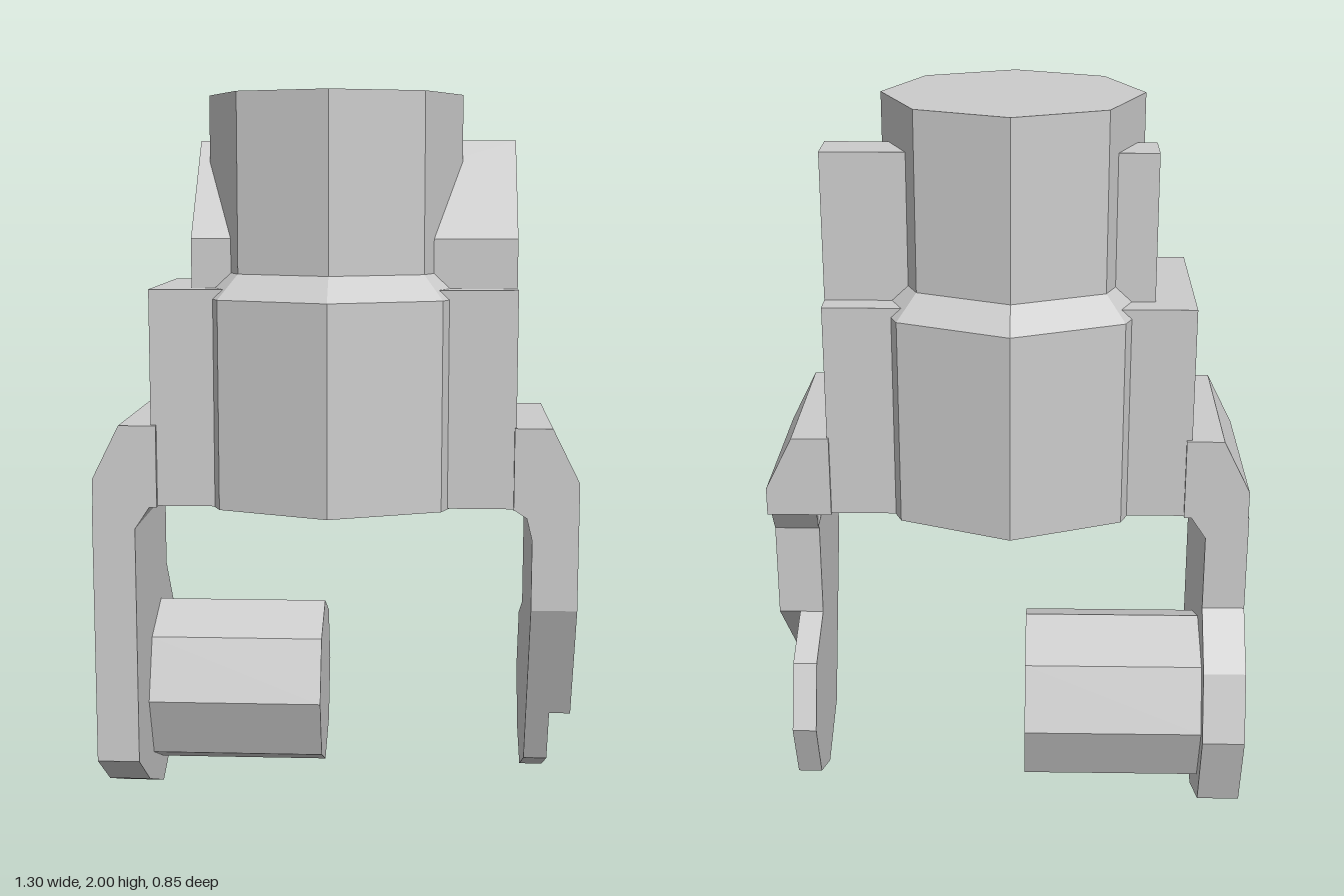
import * as THREE from 'three';

const material = new THREE.MeshStandardMaterial({ color: 0xcccccc, flatShading: true });

function add(group, name, geometry) {
  const mesh = new THREE.Mesh(geometry, material);
  mesh.name = name;
  group.add(mesh);
  return mesh;
}

function extrude(points, depth) {
  const shape = new THREE.Shape(points.map(([a, b]) => new THREE.Vector2(a, b)));
  return new THREE.ExtrudeGeometry(shape, { depth, bevelEnabled: false });
}

// Side profile of [z, y] points, extruded from x0 to x1
function sideSlab(points, x0, x1) {
  return extrude(points.map(([z, y]) => [-z, y]), x1 - x0).rotateY(Math.PI / 2).translate(x0, 0, 0);
}

// Front profile of [x, y] points, extruded from z0 to z1
function frontSlab(points, z0, z1) {
  return extrude(points, z1 - z0).translate(0, 0, z0);
}

export function createModel() {
  const model = new THREE.Group();
  model.name = 'clampHead';

  // Stepped octagonal core, corners on the axes
  const coreProfile = [[0, 0.91], [0.415, 0.91], [0.415, 1.465], [0.345, 1.53], [0.345, 2], [0, 2]];
  add(model, 'core', new THREE.LatheGeometry(coreProfile.map(([r, y]) => new THREE.Vector2(r, y)), 8))
    .position.set(-0.01, 0, 0.012);

  // Cross block and sloped fins passing through the core
  add(model, 'crossBlock', new THREE.BoxGeometry(0.97, 0.578, 0.505)).position.set(-0.005, 1.201, 0.0125);
  add(model, 'fins', sideSlab(
    [[0.195, 1.47], [0.195, 1.62], [-0.04, 1.88], [-0.17, 1.88], [-0.17, 1.47]], -0.385, 0.48));

  // Chamfered shoulders
  for (const side of [-1, 1]) {
    const profile = [[0.475, 1.13], [0.575, 1.13], [0.648, 0.985], [0.648, 0.91], [0.475, 0.91]];
    add(model, side > 0 ? 'leftShoulder' : 'rightShoulder',
      frontSlab(profile.map(([x, y]) => [x * side, y]), -0.25, 0.28));
  }

  // Right arm: full plate with a rounded foot
  add(model, 'rightArm', sideSlab([
    [0.28, 0.91], [0.28, 0.2], [0.11, 0.09], [-0.13, 0], [-0.355, 0.095],
    [-0.425, 0.315], [-0.37, 0.5], [-0.25, 0.64], [-0.25, 0.91]], -0.65, -0.535));
  add(model, 'rightGusset', frontSlab([[-0.495, 0.91], [-0.535, 0.91], [-0.535, 0.85]], -0.25, 0.28));

  // Left arm: notched plate ending in a thinner octagonal foot
  add(model, 'leftArm', sideSlab([
    [0.28, 0.91], [0.28, 0.64], [0.13, 0.31], [-0.14, 0.56],
    [-0.14, 0.82], [-0.19, 0.89], [-0.25, 0.91]], 0.525, 0.648));
  add(model, 'leftFoot', sideSlab([
    [0.13, 0.31], [0.06, 0.155], [-0.14, 0.068], [-0.31, 0.142],
    [-0.38, 0.315], [-0.31, 0.487], [-0.14, 0.56]], 0.525, 0.59));
  add(model, 'leftGusset', frontSlab(
    [[0.48, 0.91], [0.51, 0.89], [0.525, 0.83], [0.525, 0.91]], -0.16, 0.28));

  // Octagonal peg on the inside of the right arm
  const peg = new THREE.CylinderGeometry(0.242, 0.242, 0.485, 8).rotateZ(Math.PI / 2);
  add(model, 'peg', peg).position.set(-0.2925, 0.315, -0.137);

  return model;
}
